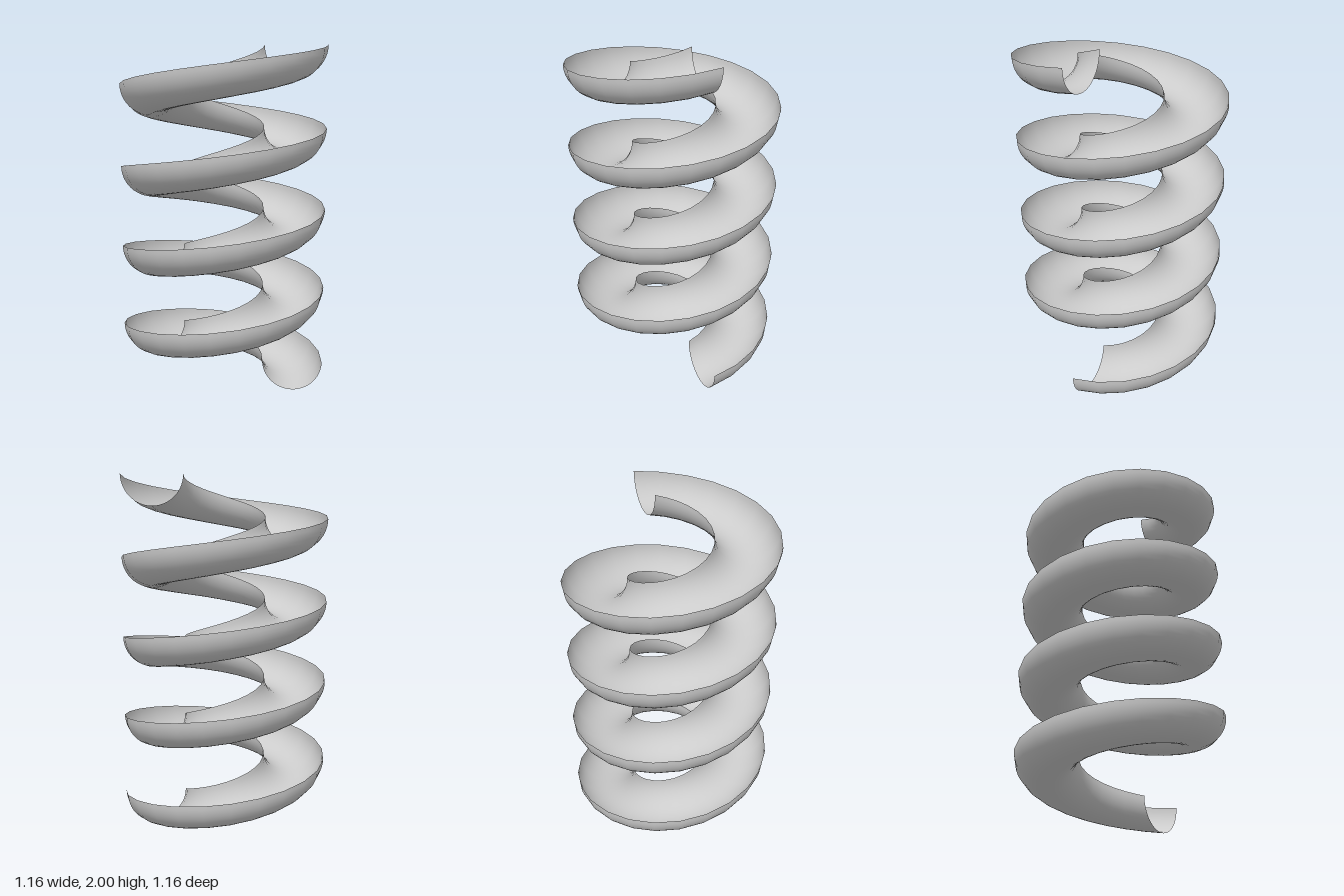
import * as THREE from 'three';

const TURNS = 4, STEPS = 24, ARC = 24;   // turns, segments per turn, segments across the channel
const R = 0.405, r = 0.175;              // coil radius, channel radius
const PITCH = (2 - r) / TURNS;

// Sweep an open half-circle section along a rising helix
function helicalChannel() {
  const pos = [], index = [], rings = TURNS * STEPS, row = ARC + 1;
  for (let i = 0; i <= rings; i++) {
    const a = (i / STEPS) * Math.PI * 2;
    const y0 = r + (i / STEPS) * PITCH;
    for (let j = 0; j <= ARC; j++) {
      const t = Math.PI + (j / ARC) * Math.PI; // inner rim, bottom, outer rim
      const d = R + r * Math.cos(t);
      pos.push(d * Math.cos(a), y0 + r * Math.sin(t), -d * Math.sin(a));
      if (i < rings && j < ARC) {
        const p = i * row + j, q = p + row;
        index.push(p, p + 1, q, p + 1, q + 1, q);
      }
    }
  }
  const g = new THREE.BufferGeometry();
  g.setAttribute('position', new THREE.Float32BufferAttribute(pos, 3));
  g.setIndex(index);
  g.computeVertexNormals();
  return g;
}

export function createModel() {
  const group = new THREE.Group();
  group.name = 'spiralSlide';
  const material = new THREE.MeshStandardMaterial({ color: 0xcccccc, side: THREE.DoubleSide });
  const channel = new THREE.Mesh(helicalChannel(), material);
  channel.name = 'slideChannel';
  group.add(channel);
  return group;
}
